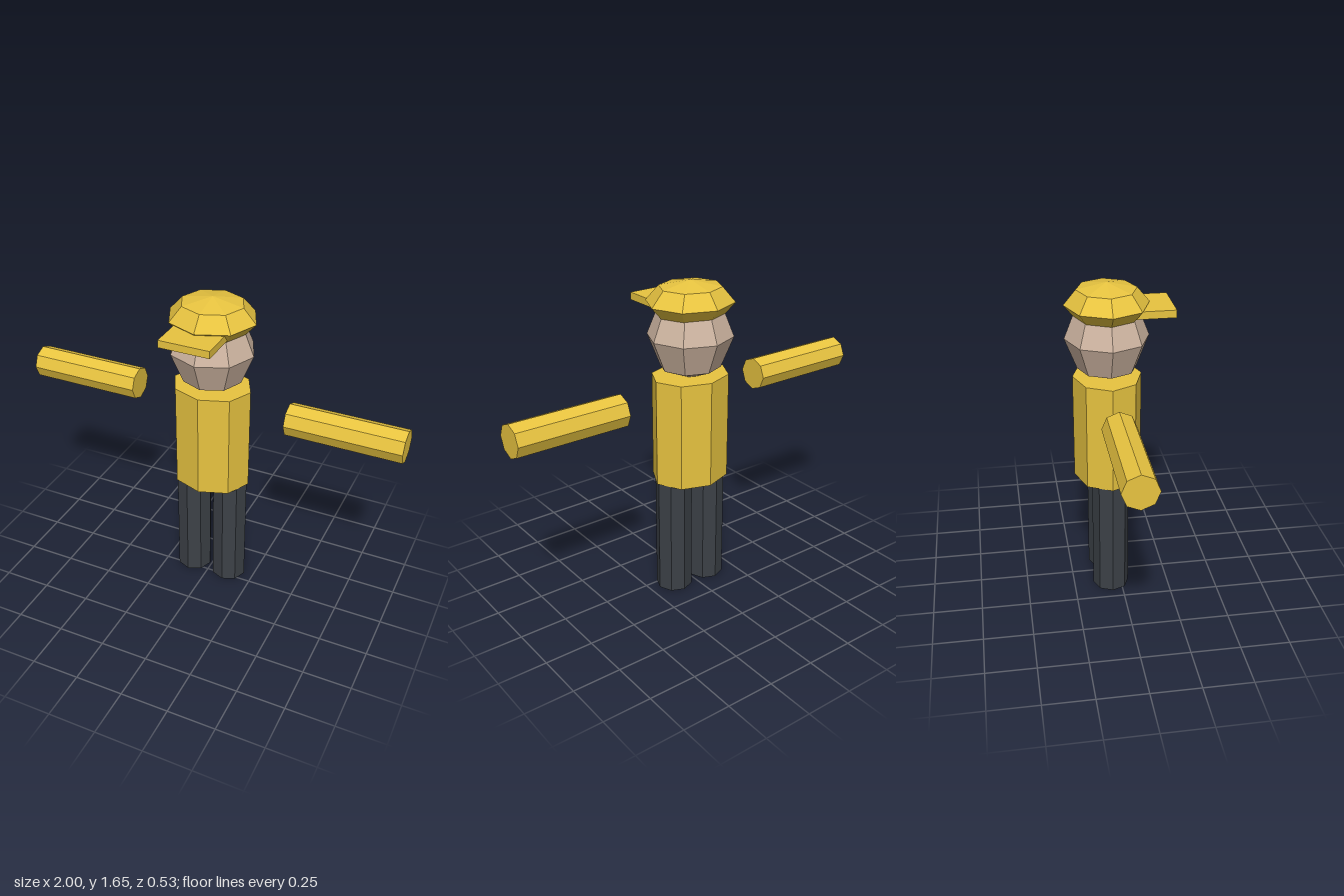
import * as THREE from 'three';

const SIDES = 8;
const Z = -0.053; // body axis, set back from the cap's peak

const flat = (color) => new THREE.MeshStandardMaterial({ color, flatShading: true });

export function createModel() {
  const model = new THREE.Group();
  model.name = 'figure';
  const yellow = flat(0xe8c440);
  const skin = flat(0xcdb4a0);
  const dark = flat(0x3c4147);

  const add = (name, geometry, material, x, y, z = Z) => {
    const mesh = new THREE.Mesh(geometry, material);
    mesh.name = name;
    mesh.position.set(x, y, z);
    model.add(mesh);
    return mesh;
  };

  // Torso: eight-sided prism, slightly wider than deep
  add('torso', new THREE.CylinderGeometry(1, 1, 0.553, SIDES), yellow, 0, 0.8985)
    .scale.set(0.207, 1, 0.173);

  // Legs and detached, outstretched arms
  const legGeometry = new THREE.CylinderGeometry(0.094, 0.094, 0.63, SIDES);
  const armGeometry = new THREE.CylinderGeometry(0.084, 0.084, 0.588, SIDES).rotateZ(Math.PI / 2);
  for (const [side, s] of [['left', 1], ['right', -1]]) {
    add(`${side}Leg`, legGeometry, dark, s * 0.104, 0.315);
    add(`${side}Arm`, armGeometry, yellow, s * 0.706, 1.08);
  }

  // Head and cap: the same coarse ball, scaled
  const ball = new THREE.SphereGeometry(1, SIDES, 4);
  add('head', ball, skin, 0, 1.375).scale.set(0.218, 0.222, 0.21);
  add('cap', ball, yellow, 0, 1.545).scale.set(0.226, 0.105, 0.21);

  // Cap peak
  add('capPeak', new THREE.BoxGeometry(0.262, 0.038, 0.265), yellow, 0, 1.52, 0.1325);

  return model;
}
